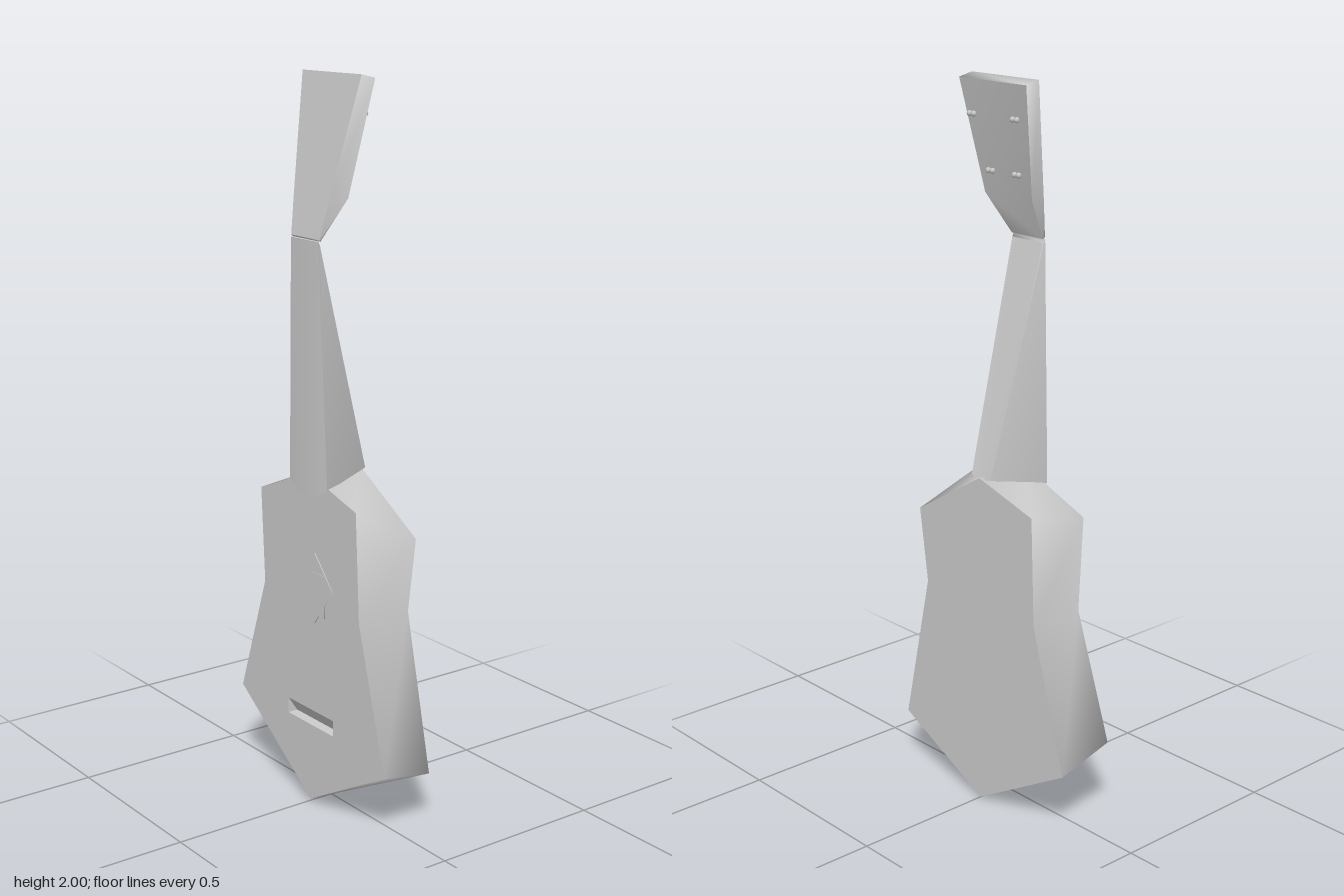
import * as THREE from 'three';

const grey = new THREE.MeshStandardMaterial({ color: 0xcccccc });
grey.name = 'plain grey';

const V = (p) => new THREE.Vector2(p[0], p[1]);

// Flat cap over an outline of [x, y, z] points, optionally with one hole; dir 1 faces front, -1 back
function addCap(pos, idx, outline, dir, hole) {
  const pts = hole ? outline.concat(hole) : outline;
  const base = pos.length / 3;
  pts.forEach((p) => pos.push(...p));
  const tris = THREE.ShapeUtils.triangulateShape(outline.map(V), hole ? [hole.map(V)] : []);
  for (const t of tris) {
    const area = THREE.ShapeUtils.area(t.map((i) => V(pts[i])));
    const [a, b, c] = area * dir > 0 ? t : [t[0], t[2], t[1]];
    idx.push(base + a, base + b, base + c);
  }
}

// Solid between a front and a back outline (anticlockwise seen from the front), with smooth walls
function loft(name, front, back, hole) {
  const pos = [], idx = [], n = front.length;
  front.concat(back).forEach((p) => pos.push(...p));
  for (let i = 0; i < n; i++) {
    const j = (i + 1) % n;
    idx.push(i, n + i, n + j, i, n + j, j);
  }
  addCap(pos, idx, front, 1, hole);
  addCap(pos, idx, back, -1);
  const g = new THREE.BufferGeometry();
  g.setAttribute('position', new THREE.Float32BufferAttribute(pos, 3));
  g.setIndex(idx);
  g.computeVertexNormals();
  const mesh = new THREE.Mesh(g, grey);
  mesh.name = name;
  return mesh;
}

const atZ = (pts, z) => pts.map(([x, y]) => [x, y, z]);

// Thin raised plate on the soundboard
function plate(name, pts, z0, z1) {
  return loft(name, atZ(pts, z1), atZ(pts, z0));
}

// Sloping slot sunk into the soundboard where the bridge sits
function bridgeSlot(x, y0, y1, z, depth) {
  const pos = [-x, y0, z, x, y0, z, x, y1, z, -x, y1, z, -x, y0, z - depth, x, y0, z - depth];
  const g = new THREE.BufferGeometry();
  g.setAttribute('position', new THREE.Float32BufferAttribute(pos, 3));
  g.setIndex([4, 5, 2, 4, 2, 3, 0, 1, 5, 0, 5, 4, 1, 2, 5, 0, 4, 3]);
  const flat = g.toNonIndexed();
  flat.computeVertexNormals();
  const slotMaterial = grey.clone();
  slotMaterial.side = THREE.DoubleSide;
  const mesh = new THREE.Mesh(flat, slotMaterial);
  mesh.name = 'bridgeSlot';
  return mesh;
}

export function createModel() {
  const group = new THREE.Group();
  group.name = 'guitar';

  // Hollow-waisted body
  const zf = 0.072, zb = -0.093;
  const front = [[0, 0.005], [0.333, 0.19], [0.22, 0.59], [0.205, 0.89], [0, 0.95],
    [-0.23, 0.86], [-0.215, 0.59], [-0.335, 0.24]];
  const back = [[0, 0], [0.318, 0.155], [0.22, 0.59], [0.25, 0.8], [0, 0.95],
    [-0.205, 0.89], [-0.215, 0.59], [-0.33, 0.19]];
  const slot = [[-0.105, 0.23], [0.105, 0.23], [0.105, 0.275], [-0.105, 0.275]];
  group.add(loft('body', atZ(front, zf), atZ(back, zb), atZ(slot, zf)));
  group.add(bridgeSlot(0.105, 0.23, 0.275, zf, 0.03));

  // Sound hole
  group.add(plate('soundHole',
    [[-0.07, 0.565], [0.025, 0.535], [0.105, 0.645], [0.025, 0.735], [-0.095, 0.665]], zf - 0.002, zf + 0.003));
  group.add(plate('soundHoleInset',
    [[-0.07, 0.56], [0.07, 0.56], [0.07, 0.68], [-0.07, 0.68]], zf - 0.002, zf + 0.004));

  // Neck tapering from a deep heel to a thin top
  group.add(loft('neck',
    [[0, 0.875, 0.085], [0.085, 0.92, 0.076], [0.062, 1.58, 0.086], [-0.06, 1.58, 0.086], [-0.085, 0.92, 0.076]],
    [[0, 0.94, -0.086], [0.038, 0.95, -0.086], [0.06, 1.57, 0.08], [-0.058, 1.57, 0.08], [-0.038, 0.95, -0.086]]));

  // Headstock leaning back, with a bevelled lower end
  group.add(loft('headstock',
    [[-0.06, 1.585, 0.085], [0.065, 1.585, 0.085], [0.08, 1.69, 0.064],
      [0.128, 2, 0], [-0.125, 2, 0], [-0.077, 1.69, 0.064]],
    [[-0.058, 1.58, 0.08], [0.062, 1.58, 0.08], [0.1, 1.69, 0.02],
      [0.128, 1.99, -0.043], [-0.125, 1.99, -0.043], [-0.08, 1.69, 0.02]]));

  // Tuning pegs on the back of the headstock
  const knob = new THREE.SphereGeometry(0.008, 6, 4);
  for (const [x, y, z] of [[-0.075, 1.9, -0.036], [0.088, 1.9, -0.036], [-0.05, 1.755, -0.006], [0.05, 1.755, -0.006]]) {
    const peg = new THREE.Group();
    peg.name = 'tuningPeg';
    for (const s of [-1, 1]) {
      const k = new THREE.Mesh(knob, grey);
      k.name = 'pegKnob';
      k.position.x = s * 0.008;
      peg.add(k);
    }
    peg.position.set(x, y, z);
    group.add(peg);
  }
  return group;
}
